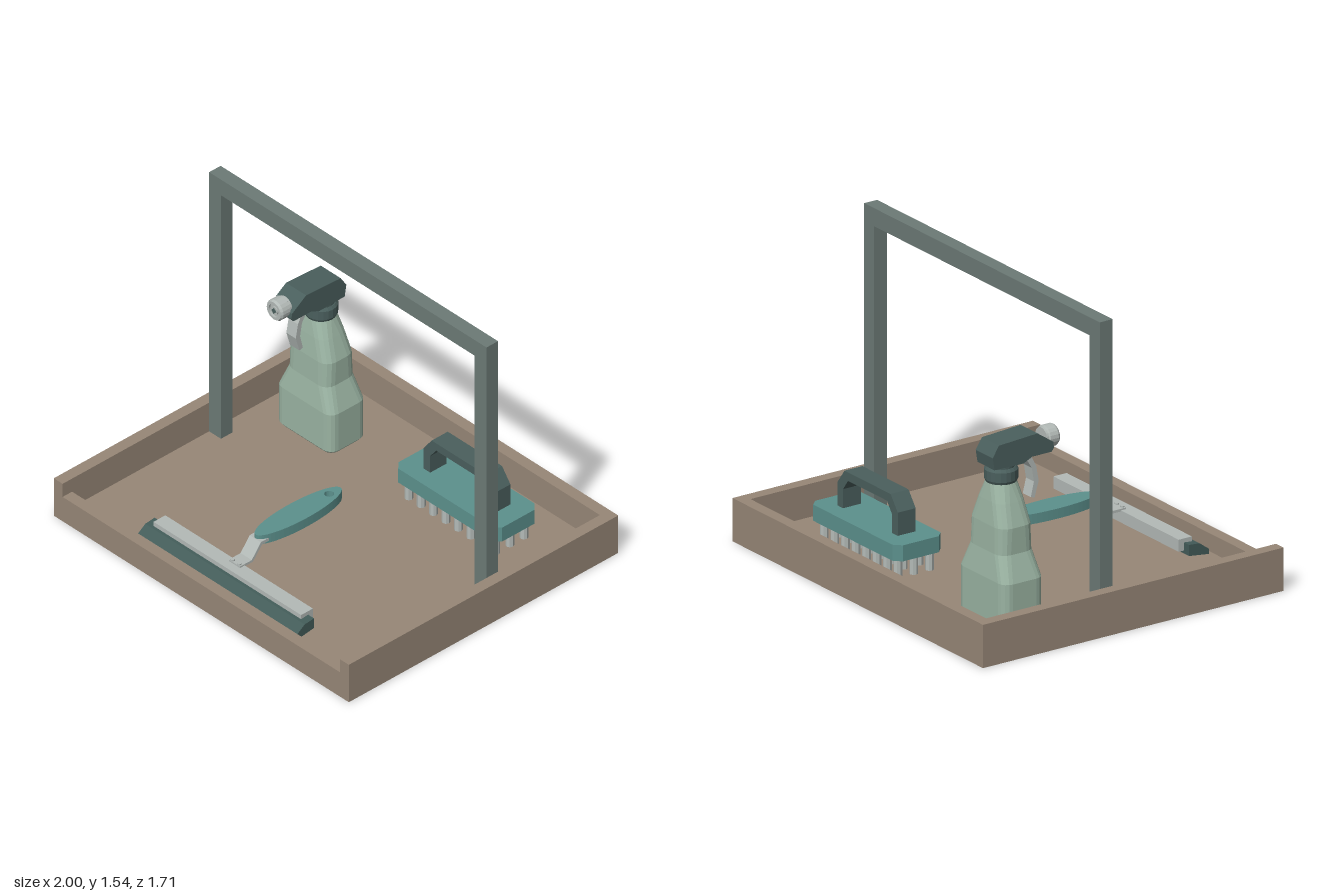
import * as THREE from 'three';

const mat = (name, color, flatShading = true) => {
  const m = new THREE.MeshStandardMaterial({ color, flatShading });
  m.name = name;
  return m;
};

export function createModel() {
  const wood = mat('brown wood', 0x978777);
  const frameGrey = mat('frame grey', 0x6c7a76);
  const sage = mat('sage plastic', 0x9ab3a2);
  const dark = mat('dark teal plastic', 0x4a5f5d);
  const teal = mat('teal plastic', 0x5c918d);
  const metal = mat('light grey', 0xb3bab7);
  const rubber = mat('dark rubber', 0x435c59);

  const root = new THREE.Group();
  root.name = 'cleaningTray';
  const group = (name) => {
    const g = new THREE.Group();
    g.name = name;
    root.add(g);
    return g;
  };
  const add = (parent, name, geo, material) => {
    const m = new THREE.Mesh(geo, material);
    m.name = name;
    parent.add(m);
    return m;
  };
  // Box given by its minimum and maximum corners
  const box = (parent, name, material, a, b) => {
    const m = add(parent, name, new THREE.BoxGeometry(b[0] - a[0], b[1] - a[1], b[2] - a[2]), material);
    m.position.set((a[0] + b[0]) / 2, (a[1] + b[1]) / 2, (a[2] + b[2]) / 2);
    return m;
  };
  const outline = (pts) => new THREE.Shape(pts.map(([x, y]) => new THREE.Vector2(x, y)));
  const extrude = (shape, depth) =>
    new THREE.ExtrudeGeometry(shape, { depth, bevelEnabled: false, curveSegments: 12 });
  // Side profile in (z, y), given a width across x
  const sideProfile = (pts, width, x) =>
    extrude(outline(pts), width).rotateY(-Math.PI / 2).translate(x + width / 2, 0, 0);
  // Plan in (x, z), hanging down from the given height
  const plan = (shape, top, depth) => extrude(shape, depth).rotateX(Math.PI / 2).translate(0, top, 0);

  // Tray with a lowered front lip
  const FLOOR = 0.05;
  const tray = group('tray');
  box(tray, 'trayFloor', wood, [-0.94, 0, -0.795], [0.94, FLOOR, 0.795]);
  box(tray, 'backWall', wood, [-0.94, 0, -0.855], [0.94, 0.215, -0.795]);
  box(tray, 'frontLip', wood, [-0.94, 0, 0.795], [0.94, 0.14, 0.855]);
  box(tray, 'rightWall', wood, [-1, 0, -0.855], [-0.94, 0.215, 0.855]);
  box(tray, 'leftWall', wood, [0.94, 0, -0.855], [1, 0.215, 0.855]);

  // Carrying frame
  const hoop = outline([[-0.94, FLOOR], [-0.86, FLOOR], [-0.86, 1.45], [0.86, 1.45], [0.86, FLOOR],
    [0.94, FLOOR], [0.94, 1.54], [-0.94, 1.54]]);
  add(group('carryFrame'), 'carryHandle', extrude(hoop, 0.073).translate(0, 0, -0.148), frameGrey);

  // Spray bottle
  const spray = group('sprayBottle');
  const BX = -0.596, BZ = -0.464;
  add(spray, 'bottleBody', bottleGeometry(), sage).position.set(BX, 0, BZ);
  const turned = (name, r1, r2, y0, y1, material) => {
    const m = add(spray, name, new THREE.CylinderGeometry(r1, r2, y1 - y0, 20), material);
    m.position.set(BX, (y0 + y1) / 2, BZ);
  };
  turned('collarBase', 0.08, 0.074, 0.722, 0.735, dark);
  turned('collar', 0.08, 0.08, 0.735, 0.782, dark);
  turned('collarTop', 0.07, 0.08, 0.782, 0.795, dark);
  turned('sprayNeck', 0.066, 0.066, 0.795, 0.84, dark);
  add(spray, 'sprayHead', sideProfile([[-0.212, 0.845], [-0.225, 0.828], [-0.335, 0.828], [-0.385, 0.805],
    [-0.55, 0.808], [-0.56, 0.87], [-0.525, 0.925], [-0.305, 0.937], [-0.215, 0.875]], 0.136, BX), dark);
  add(spray, 'trigger', sideProfile([[-0.325, 0.835], [-0.287, 0.76], [-0.273, 0.685], [-0.296, 0.605],
    [-0.318, 0.612], [-0.3, 0.685], [-0.312, 0.755], [-0.36, 0.835]], 0.064, BX), metal);
  const nozzlePts = [[0, 0], [0.048, 0], [0.048, 0.012], [0.055, 0.017], [0.055, 0.062], [0.048, 0.073],
    [0.034, 0.073], [0.034, 0.062], [0.022, 0.062], [0.022, 0.071], [0, 0.071]];
  const nozzle = new THREE.LatheGeometry(nozzlePts.map(([r, y]) => new THREE.Vector2(r, y)), 20)
    .rotateX(Math.PI / 2).translate(BX, 0.882, -0.236);
  add(spray, 'nozzle', nozzle, metal);
  const orifice = new THREE.CylinderGeometry(0.016, 0.016, 0.004, 4).rotateX(Math.PI / 2);
  add(spray, 'nozzleOrifice', orifice, dark).position.set(BX, 0.882, -0.164);

  // Scrubbing brush
  const brush = group('scrubBrush');
  const c = 0.035;
  const x0 = 0.015, x1 = 0.717, z0 = -0.622, z1 = -0.348;
  add(brush, 'brushBlock', plan(outline([[x0 + c, z0], [x1 - c, z0], [x1, z0 + c], [x1, z1 - c],
    [x1 - c, z1], [x0 + c, z1], [x0, z1 - c], [x0, z0 + c]]), 0.23, 0.08), teal);
  const grip = outline([[0.128, 0.225], [0.175, 0.225], [0.175, 0.325], [0.215, 0.378], [0.525, 0.378],
    [0.564, 0.325], [0.564, 0.225], [0.61, 0.225], [0.61, 0.345], [0.553, 0.42], [0.185, 0.42], [0.128, 0.345]]);
  add(brush, 'brushGrip', extrude(grip, 0.102).translate(0, 0, -0.536), dark);
  const tuft = new THREE.CylinderGeometry(0.021, 0.021, 0.1, 8);
  for (let row = 0; row < 3; row++)
    for (let i = 0; i < 8; i++)
      add(brush, 'bristleTuft', tuft, metal)
        .position.set(0.072 + i * 0.084, FLOOR + 0.05, -0.485 + (row - 1) * 0.09);

  // Squeegee
  const squeegee = group('squeegee');
  const handle = new THREE.Shape().absellipse(0, 0.24, 0.067, 0.27, 0, Math.PI * 2);
  handle.holes.push(new THREE.Path().absarc(0, 0.043, 0.023, 0, Math.PI * 2, true));
  const handleGeo = new THREE.ExtrudeGeometry(handle, { depth: 0.05, bevelEnabled: false, curveSegments: 28 })
    .rotateX(Math.PI / 2).translate(0, 0.254, 0);
  add(squeegee, 'squeegeeHandle', handleGeo, teal);
  add(squeegee, 'squeegeeNeck', sideProfile([[0.46, 0.215], [0.505, 0.215], [0.563, 0.145], [0.645, 0.145],
    [0.645, 0.158], [0.57, 0.158], [0.513, 0.232], [0.46, 0.232]], 0.076, 0), metal);
  box(squeegee, 'bladeChannel', metal, [-0.5, 0.09, 0.615], [0.5, 0.15, 0.69]);
  add(squeegee, 'rubberBlade', sideProfile([[0.645, 0.075], [0.76, 0.06], [0.76, 0.085], [0.705, 0.125],
    [0.645, 0.13]], 1.08, 0), rubber);
  for (const s of [-1, 1]) {
    const rivet = new THREE.CylinderGeometry(0.01, 0.01, 0.008, 8);
    add(squeegee, 'neckRivet', rivet, metal).position.set(s * 0.022, 0.161, 0.635);
  }
  return root;
}

// Bottle lofted through rounded rectangles: height, half width, half depth, corner radius
function bottleGeometry() {
  const rings = [[0.05, 0.178, 0.105, 0.045], [0.065, 0.19, 0.117, 0.05], [0.275, 0.19, 0.117, 0.05],
    [0.4, 0.141, 0.099, 0.055], [0.53, 0.141, 0.096, 0.06], [0.64, 0.103, 0.083, 0.06], [0.735, 0.068, 0.068, 0.066]];
  const STEPS = 4, N = 4 * (STEPS + 1);
  const pos = [], idx = [];
  for (const [y, w, d, r] of rings)
    for (let q = 0; q < 4; q++)
      for (let k = 0; k <= STEPS; k++) {
        const a = (q + k / STEPS) * Math.PI / 2;
        const sx = q === 0 || q === 3 ? 1 : -1, sz = q < 2 ? 1 : -1;
        pos.push(sx * (w - r) + r * Math.cos(a), y, sz * (d - r) + r * Math.sin(a));
      }
  for (let j = 0; j < rings.length - 1; j++)
    for (let i = 0; i < N; i++) {
      const a = j * N + i, b = j * N + (i + 1) % N;
      idx.push(a, a + N, b, b, a + N, b + N);
    }
  // Close the bottom and top
  const top = (rings.length - 1) * N;
  for (let i = 1; i < N - 1; i++) idx.push(0, i, i + 1, top, top + i + 1, top + i);
  const g = new THREE.BufferGeometry();
  g.setAttribute('position', new THREE.Float32BufferAttribute(pos, 3));
  g.setIndex(idx);
  g.computeVertexNormals();
  return g;
}
